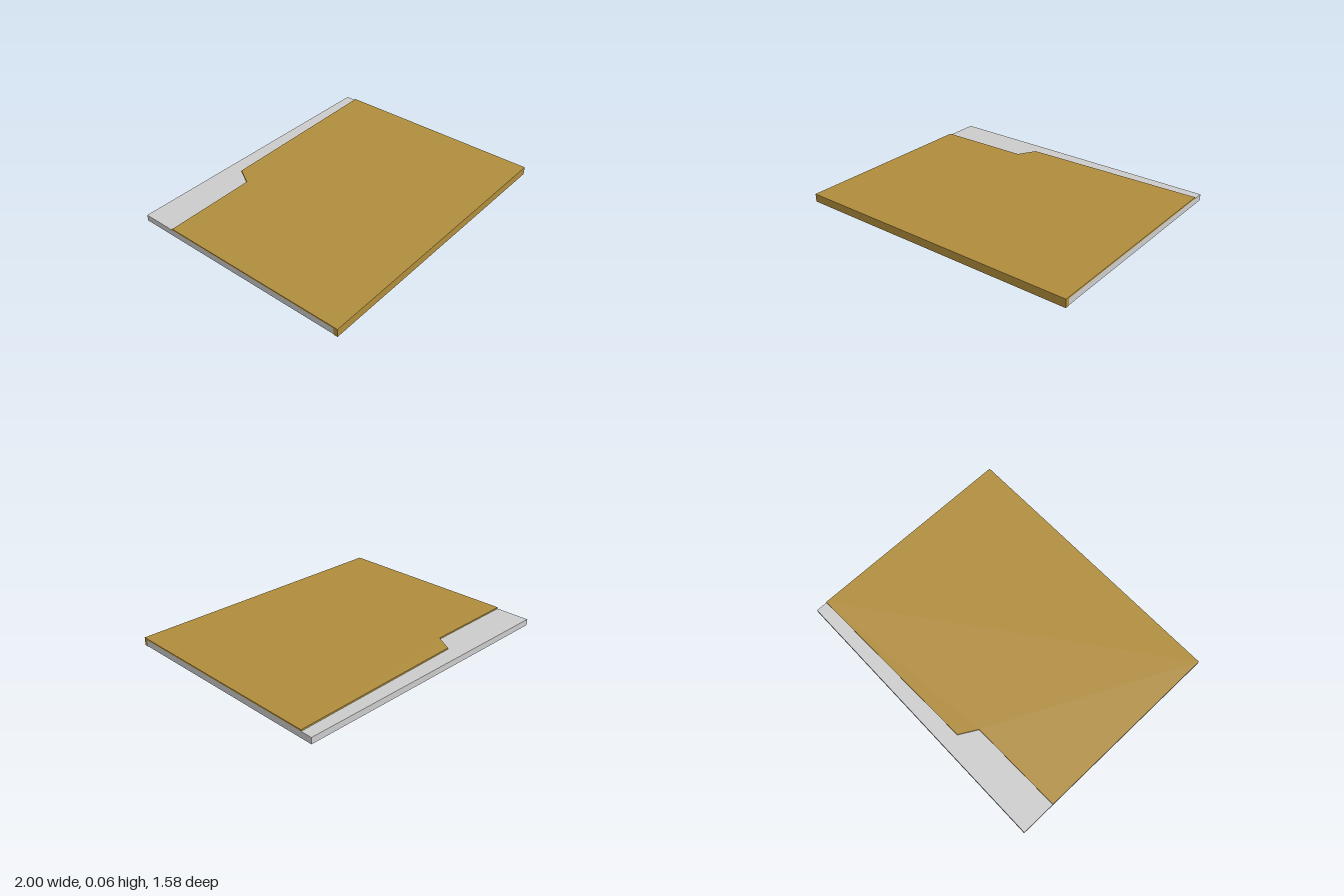
import * as THREE from 'three';

export function createModel() {
  const model = new THREE.Group();
  const grey = new THREE.MeshStandardMaterial({ color: 0xcccccc });
  const gold = new THREE.MeshStandardMaterial({ color: 0xb08d3c });

  const top = 0.056, slabTop = 0.046, slabBottom = 0.003;
  const back = -0.79, front = 0.79, lipBack = 0.76;

  const addBox = (name, material, y0, y1, z0, z1) => {
    const mesh = new THREE.Mesh(new THREE.BoxGeometry(2, y1 - y0, z1 - z0), material);
    mesh.position.set(0, (y0 + y1) / 2, (z0 + z1) / 2);
    mesh.name = name;
    model.add(mesh);
  };

  // Base slab, stopping behind the front lip
  addBox('baseSlab', grey, slabBottom, slabTop, back, lipBack);

  // Lip folded down over the front edge
  addBox('frontLip', gold, 0, slabTop, lipBack, front);

  // Thin cover sheet with a stepped, slightly slanted back edge, given as [x, z]
  const outline = [[-1, front], [1, front], [1, -0.71], [-0.275, -0.68], [-0.345, -0.557], [-1, -0.547]];
  const shape = new THREE.Shape(outline.map(([x, z]) => new THREE.Vector2(x, -z)));
  const sheet = new THREE.ExtrudeGeometry(shape, { depth: top - slabTop, bevelEnabled: false });
  sheet.rotateX(-Math.PI / 2);
  sheet.translate(0, slabTop, 0);
  const cover = new THREE.Mesh(sheet, gold);
  cover.name = 'coverSheet';
  model.add(cover);

  return model;
}
